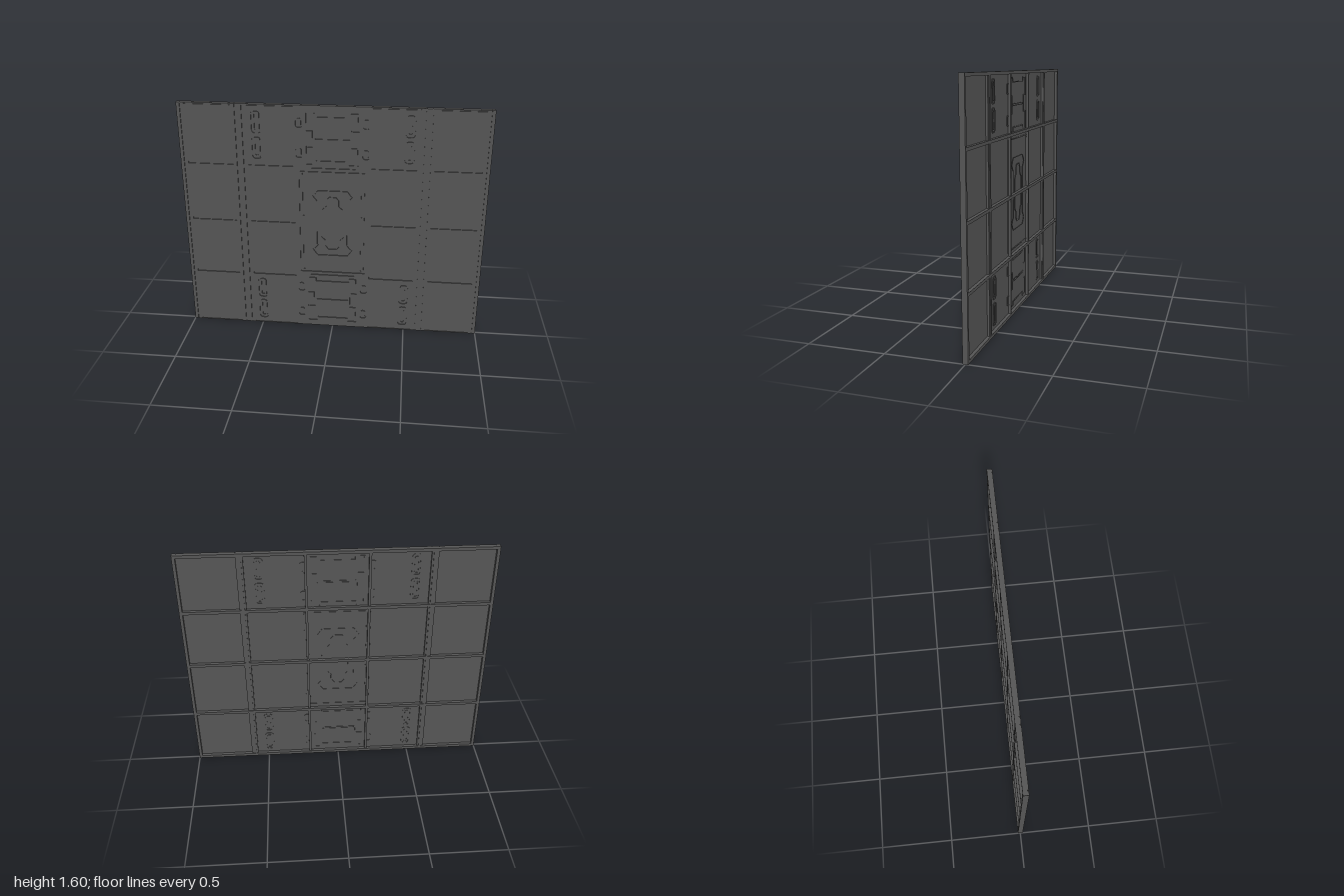
import * as THREE from 'three';

const H = 1.6, FRONT = 0.017;
const material = new THREE.MeshStandardMaterial({ color: 0x555555, flatShading: true });

// Full counter-clockwise outline from the points of its upper right quarter
function quad(q, cx, cy) {
  const r = [...q].reverse();
  return [
    ...q,
    ...r.map(([x, y]) => [-x, y]),
    ...q.map(([x, y]) => [-x, -y]),
    ...r.map(([x, y]) => [x, -y]),
  ].map(([x, y]) => [x + cx, y + cy]);
}

const rect = (cx, cy, w, h) => quad([[w / 2, h / 2]], cx, cy);
const rounded = (cx, cy, w, h, r) =>
  quad([[w / 2, h / 2 - r], [w / 2 - r * 0.3, h / 2 - r * 0.3], [w / 2 - r, h / 2]], cx, cy);

// Moves every side of an outline outwards by d
function offset(pts, d) {
  const n = pts.length;
  const normal = (a, b) => {
    const dx = b[0] - a[0], dy = b[1] - a[1], l = Math.hypot(dx, dy);
    return [dy / l, -dx / l];
  };
  return pts.map((p, i) => {
    const a = normal(pts[(i + n - 1) % n], p), b = normal(p, pts[(i + 1) % n]);
    const k = d / (1 + a[0] * b[0] + a[1] * b[1]);
    return [p[0] + (a[0] + b[0]) * k, p[1] + (a[1] + b[1]) * k];
  });
}

const vec = (pts) => pts.map(([x, y]) => new THREE.Vector2(x, y));

export function createModel() {
  const model = new THREE.Group();

  function add(name, geometry, x = 0, y = 0, z = 0) {
    const mesh = new THREE.Mesh(geometry, material);
    mesh.name = name;
    mesh.position.set(x, y, z);
    model.add(mesh);
  }
  const box = (name, x, y, w, h, z0, z1) =>
    add(name, new THREE.BoxGeometry(w, h, z1 - z0), x, y, (z0 + z1) / 2);
  function plate(name, outline, holes, z0, z1) {
    const shape = new THREE.Shape(vec(outline));
    shape.holes = holes.map((h) => new THREE.Path(vec(h)));
    add(name, new THREE.ExtrudeGeometry(shape, { depth: z1 - z0, bevelEnabled: false }), 0, 0, z0);
  }

  const holes = []; // openings of the front skin
  const g = 0.004;  // half width of an engraved line

  // Recessed slot on the front
  const slot = (x, y, w, h) => holes.push(rect(x, y, w, h));

  // Engraved outline: opening, raised island inside it, matching ridge on the back
  function engrave(name, pts, inner = []) {
    const outer = offset(pts, g), island = offset(pts, -g);
    holes.push(outer);
    plate(name, island, inner, 0.008, FRONT);
    plate(name + 'BackRidge', outer, [island], 0.001, 0.006);
    inner.forEach((p) => plate(name + 'InnerRidge', offset(p, g), [p], 0.001, 0.006));
  }

  // Long horizontal slots in the side panels
  for (const y of [0.006, 0.4, 0.8, 1.2, H - 0.006]) {
    for (const x of [-0.8, -0.4, 0.4, 0.8]) slot(x, y, 0.3, y < 0.1 || y > 1.5 ? 0.008 : 0.015);
  }

  // Vent slots near the top and bottom
  for (const x of [-0.49, 0.49]) {
    for (const y of [0.115, 0.285, 1.315, 1.485]) {
      engrave('ventSlot', rounded(x, y, 0.052, 0.142, 0.015), [rounded(x, y, 0.02, 0.105, 0.006)]);
    }
  }

  // Notched hatches with small latches on both sides
  for (const up of [1, -1]) {
    const at = (y) => (up > 0 ? y : H - y);
    const hatch = [[0.125, 0.055], [0.165, 0.055], [0.165, 0.17], [0.11, 0.17], [0.11, 0.145]];
    engrave('hatch', quad(hatch, 0, at(1.385)), [rect(0, at(1.385), 0.22, 0.007)]);
    for (const x of [-0.215, 0.215]) {
      for (const y of [1.49, 1.29]) engrave('latch', rounded(x, at(y), 0.035, 0.06, 0.01));
    }
    slot(0, at(1.19), 0.3, 0.008);
  }

  // Centre panel with a framed recess
  const recessFrame = quad(
    [[0.1, 0.16], [0.128, 0.195], [0.1, 0.235]], 0, 0.8);
  const recess = quad(
    [[0.07, 0.1], [0.045, 0.125], [0.045, 0.165], [0.025, 0.19]], 0, 0.8);
  const centreSlots = [];
  for (const x of [-0.193, 0.193]) {
    for (const y of [0.6, 1.0]) centreSlots.push(rect(x, y, 0.009, 0.3));
  }
  engrave('centrePanel', rect(0, 0.8, 0.43, 0.73), [...centreSlots, offset(recessFrame, g)]);
  plate('recessFrame', offset(recessFrame, -g), [offset(recess, g)], 0.008, FRONT);
  plate('recessCover', offset(recess, -g), [], 0.008, FRONT);
  plate('recessBackRidge', offset(recess, g), [offset(recess, -g)], 0.001, 0.006);

  // Front skin, split by full-height grooves
  const strips = [[-1, -0.978], [-0.972, -0.625], [-0.619, -0.581], [-0.575, 0.575],
    [0.581, 0.619], [0.625, 0.972], [0.978, 1]];
  for (const [a, b] of strips) {
    const inside = holes.filter((h) => h.every(([x]) => x > a && x < b));
    plate('frontPanel', rect((a + b) / 2, H / 2, b - a, H), inside, 0.008, FRONT);
  }
  box('backingSheet', 0, H / 2, 2, H, 0.004, 0.01);

  // Frame bars on the back
  for (const y of [0.01, 0.4, 0.8, 1.2, H - 0.01]) {
    box('crossBar', 0, y, 1.96, 0.02, -FRONT, 0.006);
  }
  for (const s of [-1, 1]) {
    box('edgePost', s * 0.99, H / 2, 0.02, H, -FRONT, 0.006);
    box('widePost', s * 0.6, H / 2, 0.045, H - 0.002, -0.01, 0.006);
    box('widePostRib', s * 0.6, H / 2, 0.022, H - 0.004, -0.015, 0.006);
    box('innerPost', s * 0.2, H / 2, 0.016, H - 0.002, -0.014, 0.006);
  }

  return model;
}
